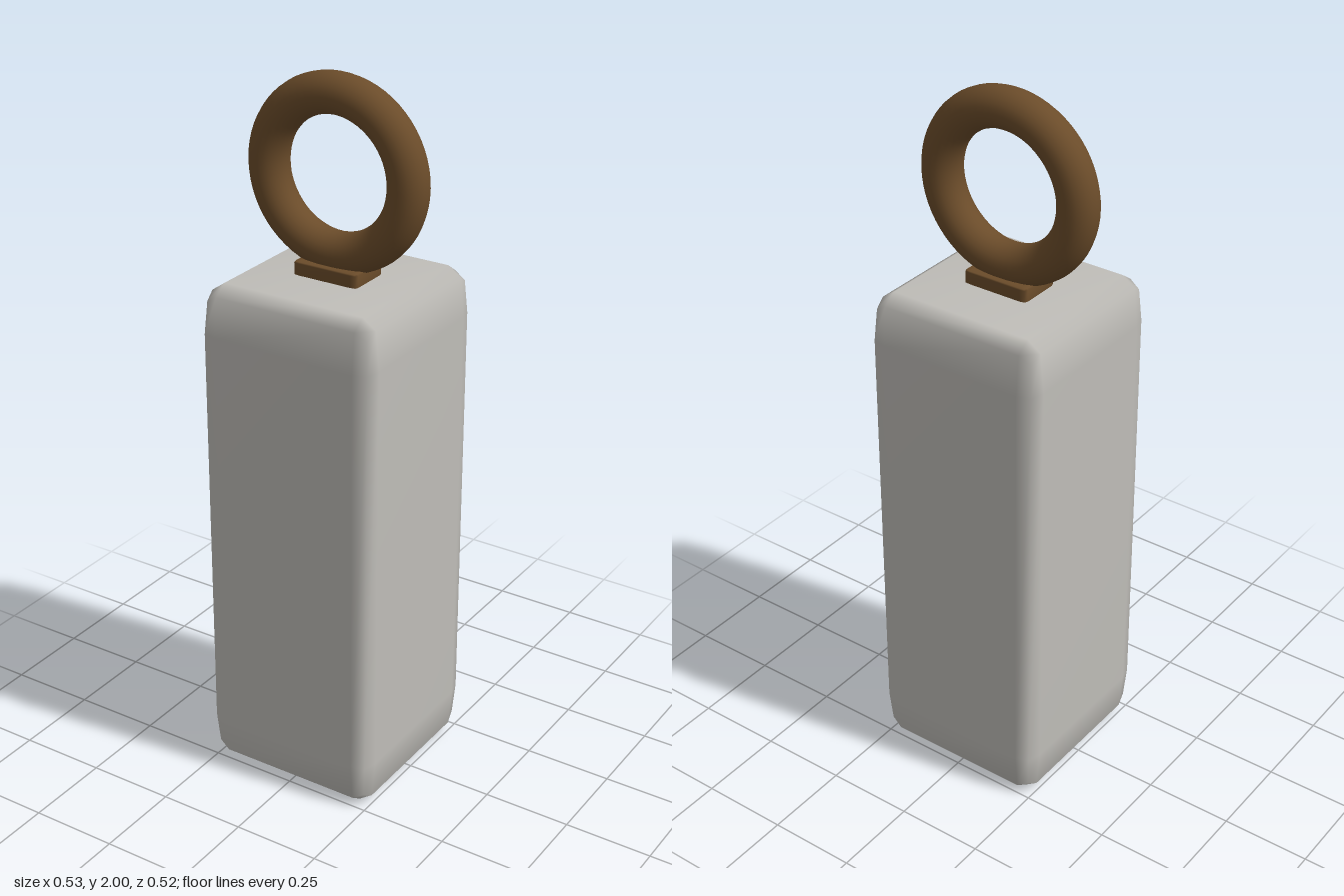
import * as THREE from 'three';
import { mergeVertices } from 'three/addons/utils/BufferGeometryUtils.js';

// Box with one soft bevel ring, made as a bevelled cube and then stretched
function softBox(w, h, d) {
  const geo = new THREE.BoxGeometry(1, 1, 1, 3, 3, 3);
  geo.deleteAttribute('uv');
  geo.deleteAttribute('normal');
  const pos = geo.attributes.position;
  const outer = [0, 0.5, 0.481, 0.468]; // face, edge and corner points
  for (let i = 0; i < pos.count; i++) {
    const p = [pos.getX(i), pos.getY(i), pos.getZ(i)];
    const rim = p.filter(v => Math.abs(v) > 0.4).length;
    const q = p.map(v => Math.sign(v) * (Math.abs(v) > 0.4 ? outer[rim] : 0.405));
    pos.setXYZ(i, q[0] * w, q[1] * h, q[2] * d);
  }
  const smooth = mergeVertices(geo, 1e-4);
  smooth.computeVertexNormals();
  return smooth;
}

export function createModel() {
  const group = new THREE.Group();
  const stone = new THREE.MeshStandardMaterial({ name: 'pale grey', color: 0xbfbdb8 });
  const bronze = new THREE.MeshStandardMaterial({ name: 'brown', color: 0x6b4c2a });

  const add = (name, geo, mat, y) => {
    const mesh = new THREE.Mesh(geo, mat);
    mesh.name = name;
    mesh.position.y = y;
    group.add(mesh);
  };

  // Tall block
  add('body', softBox(0.52, 1.46, 0.52), stone, 0.73);
  // Small plate under the ring
  add('ringBase', softBox(0.195, 0.044, 0.13), bronze, 1.475);
  // Upright hanging ring
  add('ring', new THREE.TorusGeometry(0.211, 0.055, 24, 64), bronze, 1.734);
  return group;
}
